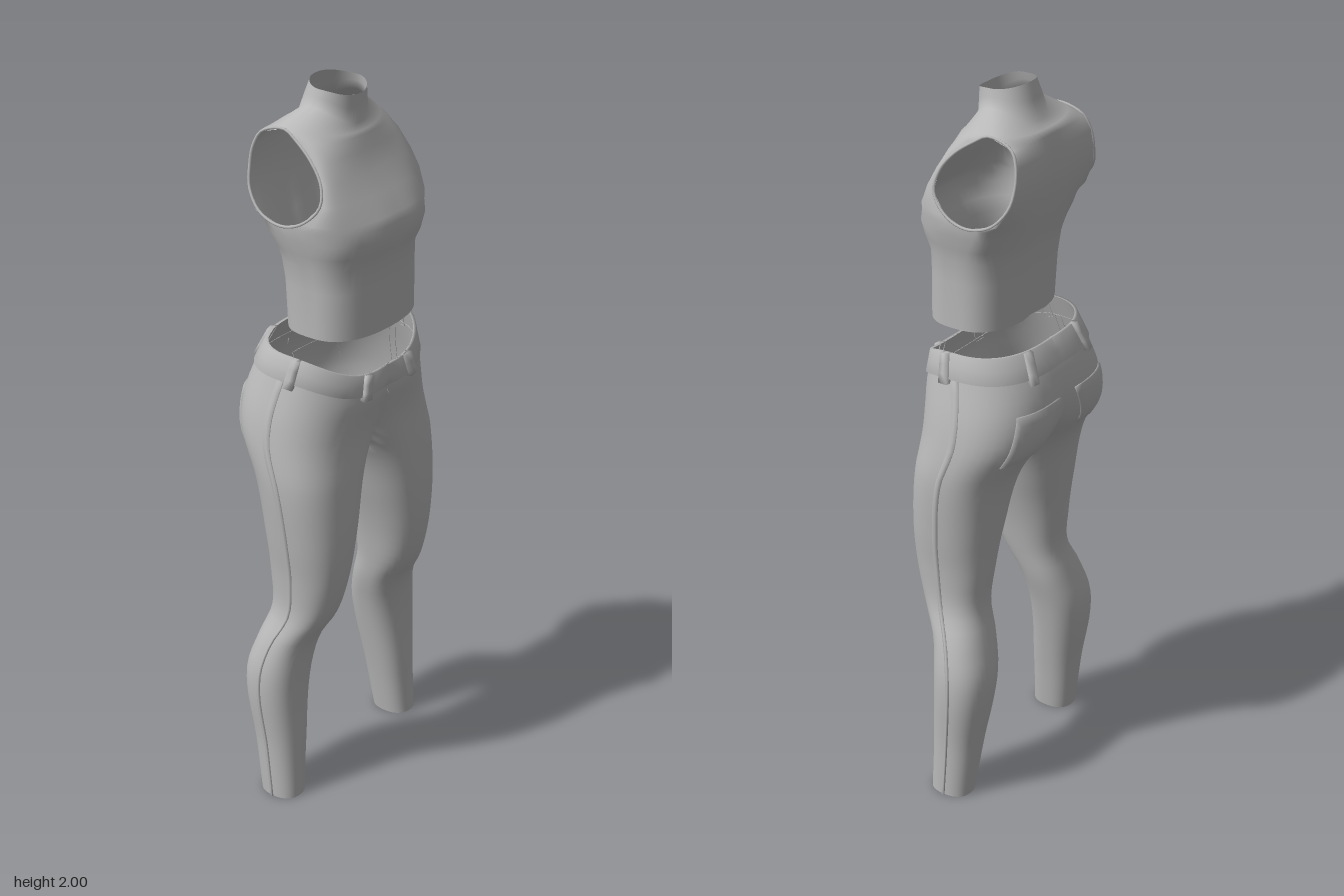
import * as THREE from 'three';
import { mergeVertices } from 'three/addons/utils/BufferGeometryUtils.js';

const { degToRad, smoothstep, clamp } = THREE.MathUtils;
const spow = (v, e) => Math.sign(v) * Math.pow(Math.abs(v), e);
const bump = (v, centre, width) => Math.exp(-(((v - centre) / width) ** 2));

// Trouser half sections: y, outer x, centre x, inner x, front z, back z
const LEG = [
  [0, .31, .26, .21, .065, -.055],
  [.15, .313, .25, .19, .06, -.075],
  [.39, .323, .235, .148, .058, -.105],
  [.49, .3, .21, .125, .075, -.08],
  [.57, .27, .19, .113, .12, -.057],
  [.68, .268, .18, .095, .15, -.065],
  [.8, .28, .17, .065, .16, -.08],
  [.98, .292, .145, .005, .152, -.118],
  [1.02, .29, .13, -.025, .148, -.142],
  [1.08, .283, .11, -.08, .145, -.178],
  [1.16, .268, .08, -.16, .152, -.19],
  [1.24, .245, .05, -.2, .162, -.175],
  [1.325, .22, .03, -.2, .155, -.137],
];
const WAIST = 1.325;
const legCurve = new THREE.CubicInterpolant(LEG.map(r => r[0]), LEG.flatMap(r => r.slice(1)), 5);

// Point on the left trouser half; angle 0 is the outer side, 90 the front
function legPoint(y, deg, off = 0) {
  const [xo, cx, xi, zf, zb] = legCurve.evaluate(y);
  const c = Math.cos(degToRad(deg)), s = Math.sin(degToRad(deg));
  const x = cx + (c > 0 ? xo - cx + off : cx - xi + off) * spow(c, .85);
  const z = (zf + zb) / 2 + ((zf - zb) / 2 + off) * spow(s, .85);
  const dip = .065 * smoothstep(y, 1.05, WAIST);
  return [Math.max(0, x), y - dip * Math.max(0, s) ** 2, z];
}

// Grid surface from point functions, skipping quads that lie on the centre plane
function grid(parts, nu, nv) {
  const pos = [], idx = [];
  for (const { fn, flip } of parts) {
    const base = pos.length / 3, w = nu + 1;
    for (let j = 0; j <= nv; j++)
      for (let i = 0; i <= nu; i++) pos.push(...fn(i, j));
    for (let j = 0; j < nv; j++)
      for (let i = 0; i < nu; i++) {
        const a = base + j * w + i, b = a + 1, c = a + w, d = c + 1;
        if ([a, b, c, d].every(k => Math.abs(pos[k * 3]) < 1e-6)) continue;
        idx.push(...(flip ? [a, b, d, a, d, c] : [a, d, b, a, c, d]));
      }
  }
  const raw = new THREE.BufferGeometry();
  raw.setAttribute('position', new THREE.Float32BufferAttribute(pos, 3));
  raw.setIndex(idx);
  const welded = mergeVertices(raw, 1e-5);
  welded.computeVertexNormals();
  return welded;
}

// The same left-hand surface on both sides of the body
const bothSides = (fn, nu, nv) => grid([1, -1].map(s => ({
  flip: s < 0,
  fn: (i, j) => {
    const [x, y, z] = fn(i, j);
    return [x * s, y, z];
  },
})), nu, nv);

// Raised cloth panel following the trousers, its border tucked into the surface
const panel = (y0, y1, a0, a1, off, nu, nv) => bothSides((i, j) => {
  const edge = i === 0 || i === nu || j === 0 || j === nv;
  const u = clamp((i - 1) / (nu - 2), 0, 1), v = clamp((j - 1) / (nv - 2), 0, 1);
  return legPoint(y0 + (y1 - y0) * v, a0 + (a1 - a0) * u, edge ? -.002 : off);
}, nu, nv);

// Top rows: y, edge x, front panel edge z and centre z, back panel edge z and centre z
const TOP = [
  [1.375, .185, .04, .17, .04, -.085],
  [1.5, .184, .037, .17, .037, -.095],
  [1.565, .19, .03, .17, .03, -.103],
  [1.6, .198, .02, .187, .02, -.11],
  [1.64, .207, 0, .195, 0, -.122],
  [1.67, .211, -.02, .193, -.02, -.13],
  [1.69, .207, .045, .183, -.09, -.134],
  [1.74, .193, .09, .15, -.133, -.145],
  [1.79, .179, .083, .118, -.143, -.15],
  [1.84, .169, .045, .095, -.14, -.146],
  [1.88, .159, -.01, .084, -.12, -.137],
  [1.9, .155, -.05, .078, -.05, -.125],
  [1.945, .088, -.015, .066, -.015, -.1],
  [1.97, .08, -.005, .064, -.005, -.085],
  [1.99, .075, 0, .064, 0, -.07],
];
const ARMHOLE_LOW = 5, ARMHOLE_HIGH = 11;

// Front or back panel of the top; u runs from one side edge to the other
function topPoint(j, u, back) {
  const [y, xs] = TOP[j], [zs, zc] = TOP[j].slice(back ? 4 : 2);
  const a = (u - .5) * Math.PI, c = Math.max(0, Math.cos(a));
  const x = xs * spow(Math.sin(a), .9);
  // Boxy at the bust, round at the collar
  const power = .7 - .15 * bump(y, 1.65, .05) + .3 * smoothstep(y, 1.85, 1.94);
  // Spine groove and the slight hollow between the breasts
  const groove = bump(x, 0, .035) * (back ? .01 * (1 - smoothstep(y, 1.84, 1.9)) : -.007 * bump(y, 1.64, .04));
  // The collar base sinks at front and back, and its rim rises at the back
  const dy = back
    ? .013 * smoothstep(y, 1.96, 1.99) - .04 * bump(y, 1.94, .03)
    : -.045 * bump(y, 1.945, .045);
  return [x, y + dy * c * c, zs + (zc - zs) * Math.pow(c, power) + groove];
}

export function createModel() {
  const model = new THREE.Group();
  const cloth = new THREE.MeshStandardMaterial({ color: 0xb8b8b8, side: THREE.DoubleSide });
  cloth.name = 'grey cloth';
  const group = name => {
    const g = new THREE.Group();
    g.name = name;
    model.add(g);
    return g;
  };
  const add = (name, geometry, parent) => {
    const mesh = new THREE.Mesh(geometry, cloth);
    mesh.name = name;
    parent.add(mesh);
  };

  // Sleeveless cropped top with a high collar
  const top = group('croppedTop');
  add('topBody', grid([false, true].map(back => ({
    flip: !back,
    fn: (i, j) => topPoint(j, i / 28, back),
  })), 28, TOP.length - 1), top);

  // Armhole edging: up the front panel and down the back panel
  for (const u of [0, 1]) {
    const pts = [];
    for (let j = ARMHOLE_LOW; j <= ARMHOLE_HIGH; j++) pts.push(new THREE.Vector3(...topPoint(j, u, false)));
    for (let j = ARMHOLE_HIGH - 1; j > ARMHOLE_LOW; j--) pts.push(new THREE.Vector3(...topPoint(j, u, true)));
    const path = new THREE.CatmullRomCurve3(pts, true);
    add(u ? 'leftArmholeEdge' : 'rightArmholeEdge', new THREE.TubeGeometry(path, 48, .004, 6, true), top);
  }

  // Trousers: two mirrored halves joined along the centre seam
  const trousers = group('trousers');
  add('trouserBody', bothSides((i, j) => legPoint(j / 48 * WAIST, i * 9 - 180), 40, 48), trousers);

  // Waistband, back pockets, side seams and belt loops
  add('waistband', panel(1.262, WAIST, -106, 106, .006, 36, 4), trousers);
  add('backPockets', panel(1.04, 1.18, -96, -54, .005, 10, 8), trousers);
  add('sideSeams', panel(0, 1.26, -2, 2, .004, 4, 44), trousers);
  for (const [name, angle] of [['frontLoops', 78], ['sideLoops', 8], ['backLoops', -70]])
    add(name, panel(1.25, WAIST, angle - 4, angle + 4, .014, 4, 5), trousers);

  return model;
}
